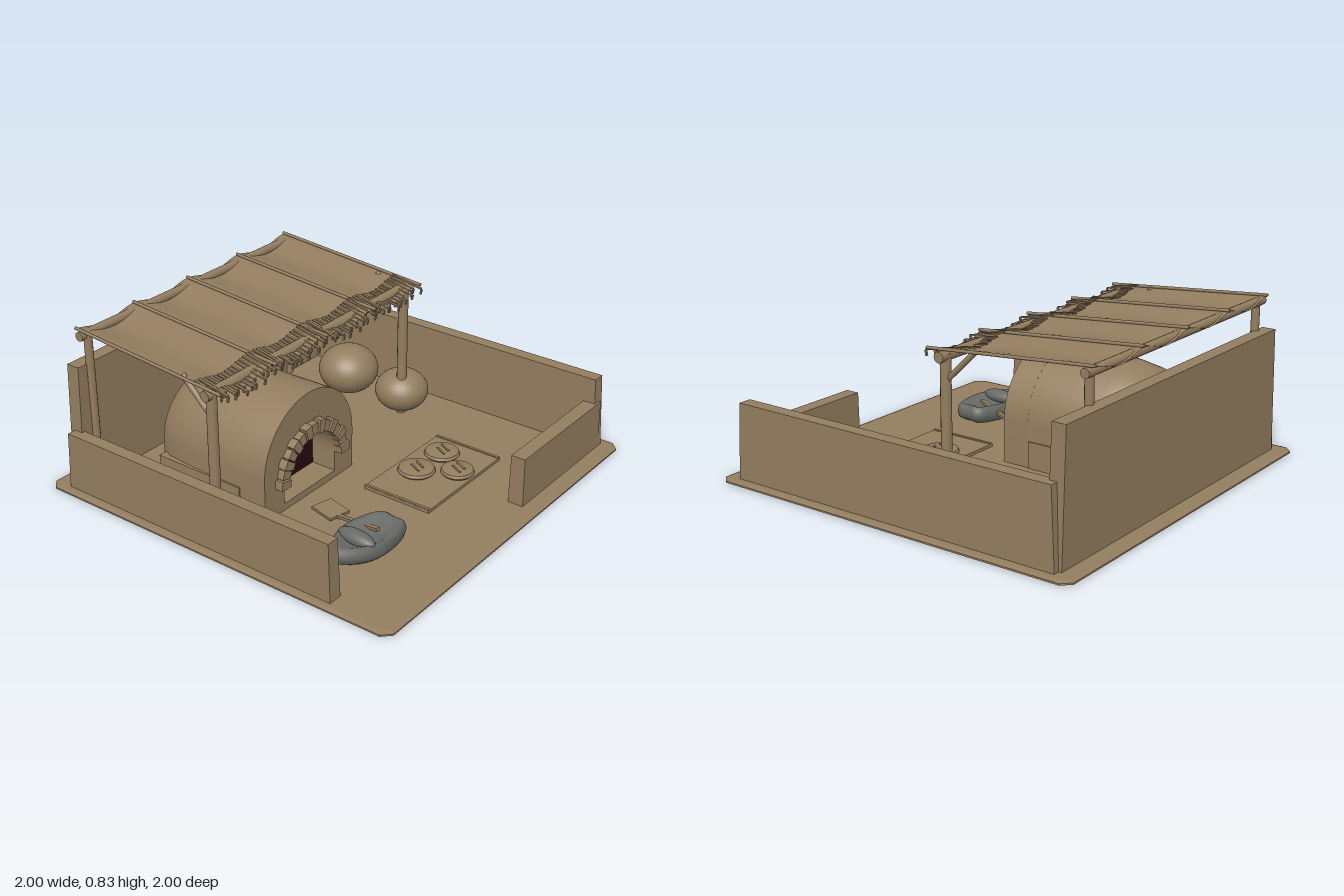
import * as THREE from 'three';
import { toCreasedNormals } from 'three/addons/utils/BufferGeometryUtils.js';

export function createModel() {
  const root = new THREE.Group();
  const mat = (name, color) => {
    const m = new THREE.MeshStandardMaterial({ color });
    m.name = name;
    return m;
  };
  const clay = mat('clay', 0x937d5f);
  const stone = mat('grey stone', 0x696b68);
  const soot = mat('dark soot', 0x270b0b);
  clay.side = THREE.DoubleSide;

  const add = (name, geo, material = clay, x = 0, y = 0, z = 0, parent = root) => {
    const mesh = new THREE.Mesh(geo, material);
    mesh.name = name;
    mesh.position.set(x, y, z);
    parent.add(mesh);
    return mesh;
  };
  const group = (name) => {
    const g = new THREE.Group();
    g.name = name;
    root.add(g);
    return g;
  };
  // Box given by its limits on each axis
  const block = (name, x0, x1, y0, y1, z0, z1, parent = root) =>
    add(name, new THREE.BoxGeometry(x1 - x0, y1 - y0, z1 - z0), clay,
      (x0 + x1) / 2, (y0 + y1) / 2, (z0 + z1) / 2, parent);
  // Round pole between two points
  const pole = (name, a, b, r, parent, sides = 12) => {
    const p = new THREE.Vector3(...a), q = new THREE.Vector3(...b);
    const mesh = add(name, new THREE.CylinderGeometry(r, r, p.distanceTo(q), sides), clay, 0, 0, 0, parent);
    mesh.position.addVectors(p, q).multiplyScalar(0.5);
    mesh.quaternion.setFromUnitVectors(new THREE.Vector3(0, 1, 0), q.sub(p).normalize());
    return mesh;
  };

  // Ground slab with bevelled rim and cut corners
  const h = 0.98, c = 0.95;
  const slab = new THREE.Shape([[c, -h], [h, -c], [h, c], [c, h], [-c, h], [-h, c], [-h, -c], [-c, -h]]
    .map((p) => new THREE.Vector2(...p)));
  const slabGeo = new THREE.ExtrudeGeometry(slab,
    { depth: 0.008, bevelThickness: 0.006, bevelSize: 0.02, bevelSegments: 1 });
  slabGeo.rotateX(-Math.PI / 2);
  add('ground', slabGeo, clay, 0, 0.006, 0);

  // Yard walls, their ends leaning inwards at the top
  const wall = (name, x0, x1, z0, z1, top, taperX, taperZ) => {
    const mesh = block(name, x0, x1, 0.015, top, z0, z1);
    const p = mesh.geometry.attributes.position;
    for (let i = 0; i < p.count; i++) {
      if (p.getY(i) < 0) continue;
      p.setX(i, p.getX(i) - Math.sign(p.getX(i)) * taperX);
      p.setZ(i, p.getZ(i) - Math.sign(p.getZ(i)) * taperZ);
    }
    mesh.geometry.computeVertexNormals();
  };
  wall('backWall', -0.92, 0.92, -0.915, -0.84, 0.645, 0.025, 0.002);
  wall('leftWall', 0.875, 0.95, -0.9, 0.915, 0.4, 0.004, 0.022);
  wall('rightWall', -0.957, -0.885, -0.9, 0.67, 0.31, 0.004, 0.012);
  wall('frontWall', 0.195, 0.92, 0.835, 0.915, 0.27, 0.002, 0.003);

  // Oven: facade with an arched mouth, then a vault closing towards the back
  const oven = group('oven');
  oven.position.x = -0.31;
  const R = 0.33, spring = 0.23, mouthR = 0.19, mouthY = 0.16;
  const face = new THREE.Shape();
  face.moveTo(-R, 0.015).lineTo(R, 0.015).lineTo(R, spring);
  face.absarc(0, spring, R, 0, Math.PI);
  face.lineTo(-R, 0.015);
  const mouth = new THREE.Shape();
  mouth.moveTo(-mouthR, 0.055).lineTo(mouthR, 0.055).lineTo(mouthR, mouthY);
  mouth.absarc(0, mouthY, mouthR, 0, Math.PI);
  mouth.lineTo(-mouthR, 0.055);
  face.holes.push(mouth);
  const faceGeo = new THREE.ExtrudeGeometry(face, { depth: 0.14, bevelEnabled: false, curveSegments: 24 });
  add('ovenFacade', toCreasedNormals(faceGeo, 0.6), clay, 0, 0, -0.09, oven);
  add('ovenMouth', new THREE.ShapeGeometry(mouth, 24), soot, 0, 0, -0.085, oven);

  const sections = [[-0.09, 1], [-0.3, 0.995], [-0.45, 0.97], [-0.56, 0.935], [-0.63, 0.83], [-0.632, 0]];
  const n = 26, pos = [], idx = [];
  sections.forEach(([z, s], i) => {
    for (let j = 0; j <= n; j++) {
      const a = ((j - 1) / (n - 2)) * Math.PI;
      const end = j === 0 || j === n;
      const x = end ? (j ? -R : R) : R * Math.cos(a);
      const y = end ? 0 : spring + R * Math.sin(a);
      pos.push(x * s, 0.015 + y * s - (end ? 0 : 0.015 * s), z);
      if (i && j) {
        const q = i * (n + 1) + j, p = q - n - 1;
        idx.push(p - 1, q - 1, p, q - 1, q, p);
      }
    }
  });
  const vault = new THREE.BufferGeometry();
  vault.setAttribute('position', new THREE.Float32BufferAttribute(pos, 3));
  vault.setIndex(idx);
  add('ovenVault', toCreasedNormals(vault, 0.7), clay, 0, 0, 0, oven);
  block('ovenPlinth', -0.338, 0.338, 0.015, 0.155, -0.6, -0.1, oven);

  // Arch stones around the mouth, every other one standing proud
  const stones = 15;
  for (let i = 0; i < stones; i++) {
    const a0 = ((i + 0.06) / stones) * Math.PI, a1 = ((i + 0.94) / stones) * Math.PI;
    const outer = i % 2 ? 0.245 : 0.255;
    const s = new THREE.Shape();
    s.absarc(0, 0, outer, a0, a1, false);
    s.absarc(0, 0, mouthR, a1, a0, true);
    add('archStone', new THREE.ExtrudeGeometry(s,
      { depth: i % 2 ? 0.045 : 0.052, bevelEnabled: false, curveSegments: 2 }), clay, 0, mouthY, 0.04, oven);
  }

  // Awning frame
  const awning = group('awning');
  const roofY = (z) => 0.745 - 0.078 * z;
  for (const x of [-0.82, 0.625]) {
    pole('frontPost', [x, 0.015, -0.085], [x, 0.735, -0.085], 0.026, awning);
    pole('backPost', [x, 0.015, -0.84], [x, 0.795, -0.84], 0.021, awning);
    pole('brace', [x, 0.61, -0.09], [x, 0.765, -0.25], 0.014, awning);
  }
  pole('frontBeam', [-0.865, 0.724, -0.085], [0.675, 0.724, -0.085], 0.026, awning);
  pole('backBeam', [-0.865, 0.789, -0.85], [0.675, 0.789, -0.85], 0.023, awning);

  // Cloth sagging between five battens
  const left = -0.85, bay = 0.375;
  const sag = (x) => 0.034 * Math.sin(((x - left) / bay) * Math.PI) ** 2;
  const cloth = new THREE.PlaneGeometry(1.5, 0.86, 48, 6);
  cloth.rotateX(-Math.PI / 2);
  cloth.translate(-0.1, 0, -0.455);
  const cp = cloth.attributes.position;
  for (let i = 0; i < cp.count; i++) {
    const edge = 0.45 + 0.55 * Math.min(1, Math.abs(cp.getZ(i) + 0.455) / 0.43);
    cp.setY(i, roofY(cp.getZ(i)) - sag(cp.getX(i)) * edge);
  }
  cloth.computeVertexNormals();
  add('awningCloth', cloth, clay, 0, 0, 0, awning);
  for (let i = 0; i < 5; i++) {
    const x = left + i * bay;
    pole('batten', [x, roofY(-0.885) + 0.006, -0.885], [x, roofY(0) + 0.006, 0], 0.008, awning, 8);
  }

  // Fringe of reeds with uneven ends along the front edge
  const reeds = 62;
  for (let i = 0; i < reeds; i++) {
    const x = left + ((i + 0.5) / reeds) * 1.5;
    const len = 0.155 + 0.022 * Math.sin(i * 2.4);
    const drop = sag(x);
    const reed = add('fringeReed', new THREE.BoxGeometry(0.013, 0.007, len), clay,
      x, roofY(-0.08) - drop * 0.9 + 0.004, -0.16 + len / 2, awning);
    reed.rotation.x = 0.2;
    const tip = add('fringeTip', new THREE.BoxGeometry(0.011, 0.026, 0.008), clay,
      x, roofY(0) - drop * 0.75 - 0.018 - 0.006 * (i % 2), -0.163 + len, awning);
    tip.rotation.x = 0.2;
  }

  // Round storage heaps beside the oven
  for (const [x, z, r, hy] of [[0.665, -0.46, 0.16, 0.13], [0.67, -0.115, 0.14, 0.11]]) {
    add('storageJar', new THREE.SphereGeometry(r, 28, 18), clay, x, hy + 0.012, z).scale.y = hy / r;
  }

  // Bread mat with rolled edges and three slashed loaves
  block('mat', -0.12, 0.5, 0.015, 0.035, 0.23, 0.6);
  for (const x of [-0.112, 0.492]) block('matEdge', x - 0.007, x + 0.007, 0.018, 0.04, 0.23, 0.6);
  for (const [x, z, r] of [[0.14, 0.35, 0.093], [0.35, 0.357, 0.089], [0.25, 0.515, 0.083]]) {
    const loaf = group('loaf');
    loaf.position.set(x, 0.034, z);
    const profile = [[0, 0], [0.88, 0], [1, 0.012], [0.93, 0.026], [0.8, 0.03], [0, 0.032]]
      .map(([a, b]) => new THREE.Vector2(a * r, b));
    add('loafBody', toCreasedNormals(new THREE.LatheGeometry(profile, 28), 0.6), clay, 0, 0, 0, loaf);
    for (const s of [-0.018, 0.022]) {
      add('loafSlash', new THREE.BoxGeometry(0.01, 0.006, 0.07), clay, s, 0.033, 0.005, loaf).rotation.y = -0.5;
    }
  }

  // Baker's peel with its handle resting on the grinding stone
  add('peelBlade', new THREE.BoxGeometry(0.115, 0.012, 0.14), clay, -0.385, 0.034, 0.23).rotation.y = -0.24;
  const handle = add('peelHandle', new THREE.BoxGeometry(0.022, 0.014, 0.29), clay, -0.443, 0.07, 0.432);
  handle.rotation.set(-0.24, -0.24, 0, 'YXZ');

  // Grinding stone: hollowed, pointed at one end and blunt at the other
  const quern = group('grindingStone');
  quern.position.set(-0.535, 0, 0.54);
  quern.rotation.y = -0.1;
  const bowl = new THREE.LatheGeometry([[0, 0.02], [0.8, 0.022], [0.95, 0.04], [1, 0.07], [0.96, 0.1],
    [0.87, 0.114], [0.74, 0.105], [0.5, 0.087], [0, 0.08]].map((p) => new THREE.Vector2(...p)), 40);
  const bp = bowl.attributes.position;
  for (let i = 0; i < bp.count; i++) {
    const x = bp.getX(i), z = bp.getZ(i), r = Math.hypot(x, z) || 1;
    const cx = x / r, blunt = cx > 0 ? 1 + 0.22 * (2 * cx * z / r) ** 2 : 1;
    bp.setX(i, x * 0.205 * blunt);
    bp.setZ(i, z * 0.122 * (cx > 0 ? 1 : 1 - 0.3 * cx * cx));
  }
  bowl.computeVertexNormals();
  add('stoneBowl', bowl, stone, 0, 0, 0, quern);
  const roller = add('handStone', new THREE.SphereGeometry(1, 24, 16), stone, -0.055, 0.108, 0, quern);
  roller.scale.set(0.042, 0.034, 0.105);
  return root;
}
